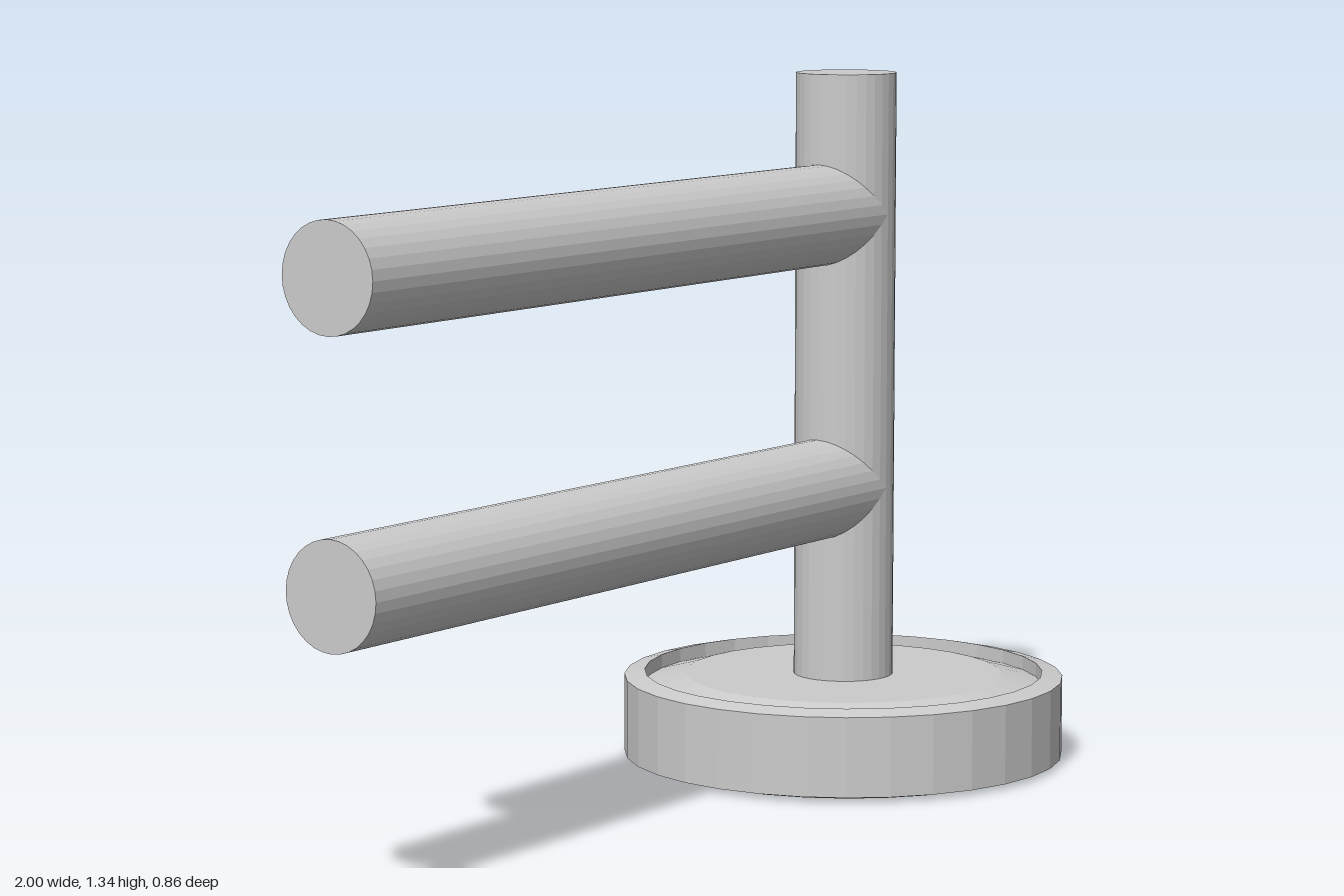
import * as THREE from 'three';

const POST_X = 0.567;
const RADIUS = 0.097;

export function createModel() {
  const group = new THREE.Group();
  const material = new THREE.MeshStandardMaterial({ color: 0xcccccc, flatShading: true });

  function add(name, geometry, x, y) {
    const mesh = new THREE.Mesh(geometry, material);
    mesh.name = name;
    mesh.position.set(x, y, 0);
    group.add(mesh);
    return mesh;
  }

  // Round foot: raised rims with a groove inside, domed discs above and below
  const profile = [
    [0, 0.005], [0.31, 0.005], [0.39, 0.027], [0.39, 0], [0.43, 0.01],
    [0.43, 0.163], [0.39, 0.172], [0.39, 0.145], [0.31, 0.167], [0, 0.167],
  ].map(([r, y]) => new THREE.Vector2(r, y));
  add('base', new THREE.LatheGeometry(profile, 32), POST_X, 0);

  // Upright post
  const bottom = 0.16, top = 1.343;
  add('post', new THREE.CylinderGeometry(RADIUS, RADIUS, top - bottom, 32), POST_X, (top + bottom) / 2);

  // Two horizontal arms running from the post's axis to the free end
  const length = POST_X + 1;
  [['lowerArm', 0.541], ['upperArm', 1.073]].forEach(([name, y]) => {
    const arm = new THREE.CylinderGeometry(RADIUS, RADIUS, length, 32).rotateZ(Math.PI / 2);
    add(name, arm, (POST_X - 1) / 2, y);
  });

  return group;
}
